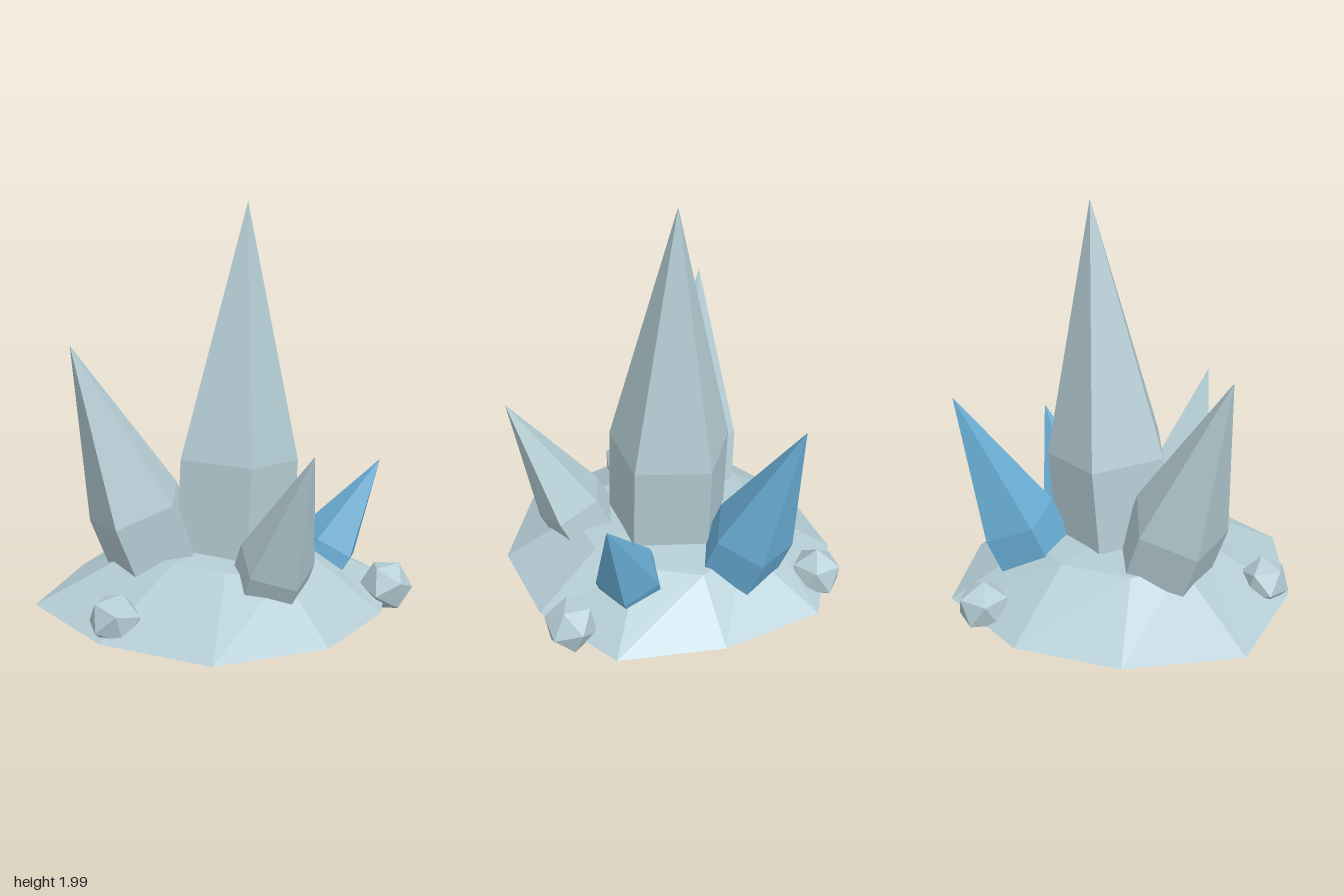
import * as THREE from 'three';

export function createModel() {
  const model = new THREE.Group();
  const stone = new THREE.MeshStandardMaterial({ name: 'paleStone', color: 0xb4ccd4, flatShading: true });
  const blue = new THREE.MeshStandardMaterial({ name: 'blueCrystal', color: 0x6aaed6, flatShading: true });

  function add(name, geometry, material) {
    const mesh = new THREE.Mesh(geometry, material);
    mesh.name = name;
    model.add(mesh);
    return mesh;
  }

  // Rocky mound: an irregular ten-sided rim, a raised inner ring and a flat underside
  const rim = [[0.83, 0.01], [0.73, 0.51], [0.29, 0.755], [-0.2, 0.8], [-0.67, 0.54],
    [-0.835, 0.01], [-0.73, -0.56], [-0.21, -0.805], [0.31, -0.795], [0.76, -0.5]];
  const crown = [[0.54, 0.29, 0.01], [0.39, 0.3, 0.29], [0.19, 0.31, 0.435], [-0.1, 0.31, 0.47], [-0.28, 0.32, 0.27],
    [-0.36, 0.33, 0.02], [-0.35, 0.32, -0.27], [-0.15, 0.33, -0.45], [0.2, 0.33, -0.43], [0.42, 0.31, -0.25]];
  const n = rim.length;
  const points = [...rim.map(([x, z]) => [x, 0.08, z]), ...crown, [0, 0.35, 0], [0, 0.08, 0]];
  const index = [];
  for (let i = 0; i < n; i++) {
    const j = (i + 1) % n;
    index.push(i, n + i, j, n + i, n + j, j); // slope
    index.push(2 * n, n + j, n + i); // top
    index.push(2 * n + 1, i, j); // underside
  }
  const mound = new THREE.BufferGeometry();
  mound.setAttribute('position', new THREE.Float32BufferAttribute(points.flat(), 3));
  mound.setIndex(index);
  mound.computeVertexNormals();
  add('mound', mound, stone);

  // Five-sided crystals: straight shaft up to the shoulder, then a long point along the same axis
  function crystal(name, material, shoulder, tip, radius, cornerAngle, baseY = 0.1) {
    const top = new THREE.Vector3(...tip);
    const mid = new THREE.Vector3(...shoulder);
    const axis = top.clone().sub(mid).normalize();
    const base = mid.clone().addScaledVector(axis, (baseY - mid.y) / axis.y);
    const profile = [[0, 0], [radius, 0], [radius, base.distanceTo(mid)], [0, base.distanceTo(top)]]
      .map(([r, h]) => new THREE.Vector2(r, h));
    const geometry = new THREE.LatheGeometry(profile, 5);
    geometry.rotateY(THREE.MathUtils.degToRad(90 - cornerAngle));
    const mesh = add(name, geometry, material);
    mesh.quaternion.setFromUnitVectors(new THREE.Vector3(0, 1, 0), axis);
    mesh.position.copy(base);
  }
  crystal('mainCrystal', stone, [0.09, 0.765, 0.01], [0.18, 2, 0.01], 0.31, -19);
  crystal('backRightCrystal', stone, [-0.33, 0.55, -0.26], [-0.595, 1.35, -0.41], 0.245, 16);
  crystal('frontRightCrystal', stone, [-0.14, 0.38, 0.46], [-0.24, 0.95, 0.74], 0.185, 36);
  crystal('backLeftCrystal', blue, [0.51, 0.45, -0.25], [0.74, 1.115, -0.38], 0.205, 7);
  crystal('frontLeftCrystal', blue, [0.43, 0.31, 0.35], [0.625, 0.73, 0.508], 0.16, 28);

  // Loose pebbles around the rim
  const pebbles = [
    [-0.715, 0.155, -0.015, 0.125, 0.4],
    [0.545, 0.145, -0.595, 0.13, 1.3],
    [0.485, 0.14, 0.655, 0.13, 2.2],
  ];
  pebbles.forEach(([x, y, z, r, turn], i) => {
    const pebble = add('pebble' + (i + 1), new THREE.IcosahedronGeometry(r, 0), stone);
    pebble.position.set(x, y, z);
    pebble.rotation.set(turn, turn * 1.7, 0.3);
  });

  return model;
}
